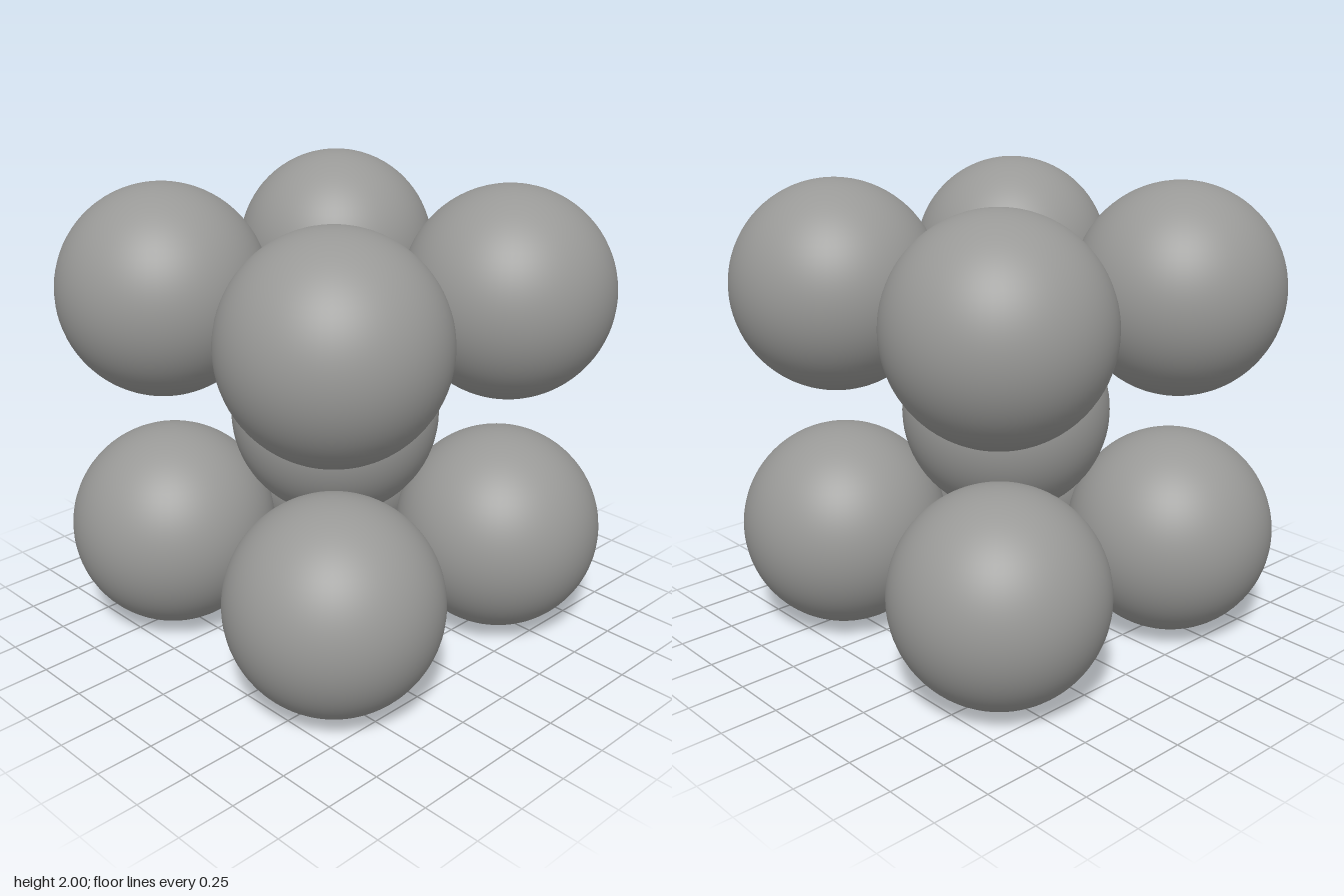
import * as THREE from 'three';

// Body-centred lattice cell: eight corner spheres around one central sphere
export function createModel() {
  const group = new THREE.Group();
  const grey = new THREE.MeshStandardMaterial({ color: 0x999997 });
  grey.name = 'grey';

  const radius = 0.454;
  const offset = new THREE.Vector3(0.511, 1 - radius, 0.521);
  const geometry = new THREE.SphereGeometry(radius, 64, 40);

  function addSphere(name, x, y, z) {
    const sphere = new THREE.Mesh(geometry, grey);
    sphere.name = name;
    sphere.position.set(x, y, z);
    group.add(sphere);
  }

  // Central sphere
  addSphere('centreSphere', 0, 1, 0);

  // Corner spheres
  for (const [vertical, sy] of [['lower', -1], ['upper', 1]]) {
    for (const [depth, sz] of [['Back', -1], ['Front', 1]]) {
      for (const [side, sx] of [['Right', -1], ['Left', 1]]) {
        addSphere(`${vertical}${depth}${side}Sphere`,
          sx * offset.x, 1 + sy * offset.y, sz * offset.z);
      }
    }
  }
  return group;
}
